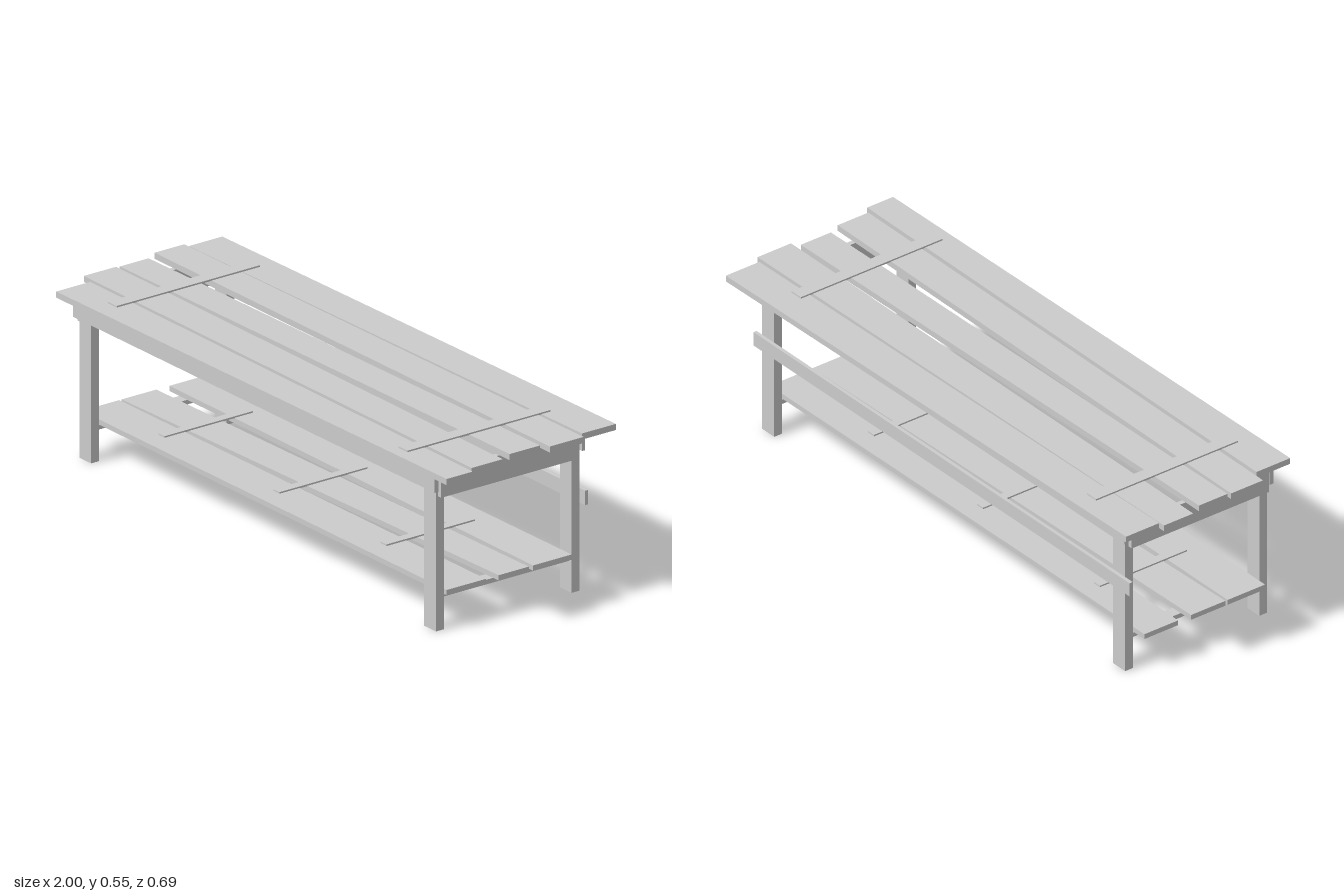
import * as THREE from 'three';

export function createModel() {
  const group = new THREE.Group();
  group.name = 'slattedBench';
  const material = new THREE.MeshStandardMaterial({ color: 0xcccccc, flatShading: true });

  const add = (name, geometry) => {
    const mesh = new THREE.Mesh(geometry, material);
    mesh.name = name;
    group.add(mesh);
  };

  // Straight board given by its limits on each axis
  const board = (name, [x0, x1], [y0, y1], [z0, z1]) => {
    const geometry = new THREE.BoxGeometry(x1 - x0, y1 - y0, z1 - z0);
    geometry.translate((x0 + x1) / 2, (y0 + y1) / 2, (z0 + z1) / 2);
    add(name, geometry);
  };

  // Rough-cut plank: its z limits differ at the left-hand and right-hand ends
  const plank = (name, [x0, x1], [y0, y1], zStart, zEnd) => {
    const geometry = new THREE.BoxGeometry(1, 1, 1);
    const p = geometry.attributes.position;
    for (let i = 0; i < p.count; i++) {
      const z = p.getX(i) < 0 ? zStart : zEnd;
      p.setXYZ(i, p.getX(i) < 0 ? x0 : x1, p.getY(i) < 0 ? y0 : y1, p.getZ(i) < 0 ? z[0] : z[1]);
    }
    geometry.computeVertexNormals();
    add(name, geometry);
  };

  // Seat planks, slightly skewed
  [
    [[-0.98, 0.955], [-0.325, -0.197], [-0.347, -0.218]],
    [[-1, 0.98], [-0.195, -0.082], [-0.205, -0.076]],
    [[-0.975, 0.955], [-0.04, 0.07], [-0.058, 0.058]],
    [[-0.98, 0.975], [0.08, 0.203], [0.1, 0.218]],
    [[-0.93, 1], [0.217, 0.347], [0.233, 0.333]],
  ].forEach(([x, a, b], i) => plank(`seatPlank${i + 1}`, x, [0.525, 0.545], a, b));

  // Thin battens across the seat
  board('seatBattenRight', [-0.76, -0.715], [0.544, 0.55], [-0.267, 0.28]);
  board('seatBattenLeft', [0.71, 0.755], [0.544, 0.55], [-0.25, 0.295]);

  // Shelf planks
  [
    [[-0.215, -0.085], [-0.22, -0.073]],
    [[-0.035, 0.097], [-0.057, 0.058]],
    [[0.106, 0.25], [0.107, 0.256]],
  ].forEach(([a, b], i) => plank(`shelfPlank${i + 1}`, [-0.93, 0.9], [0.115, 0.132], a, b));

  // Thin battens across the shelf
  [-0.618, -0.045, 0.49].forEach((x, i) =>
    board(`shelfBatten${i + 1}`, [x - 0.015, x + 0.015], [0.131, 0.137], [-0.153, 0.183]));

  // Legs, end aprons and shelf bearers
  for (const [side, leg, apron, bearer] of [
    ['Right', [-0.893, -0.834], [-0.91, -0.893], [-0.88, -0.84]],
    ['Left', [0.828, 0.887], [0.887, 0.904], [0.835, 0.873]],
  ]) {
    board(`frontLeg${side}`, leg, [0, 0.525], [0.257, 0.287]);
    board(`backLeg${side}`, leg, [0, 0.525], [-0.26, -0.23]);
    board(`endApron${side}`, apron, [0.44, 0.525], [-0.248, 0.28]);
    board(`shelfBearer${side}`, bearer, [0.1, 0.115], [-0.23, 0.257]);
  }

  // Long aprons and the back rail
  board('frontApron', [-0.905, 0.9], [0.46, 0.525], [0.287, 0.302]);
  board('backApron', [-0.905, 0.9], [0.46, 0.525], [-0.272, -0.26]);
  board('backRail', [-0.93, 0.915], [0.288, 0.335], [-0.272, -0.26]);

  return group;
}
